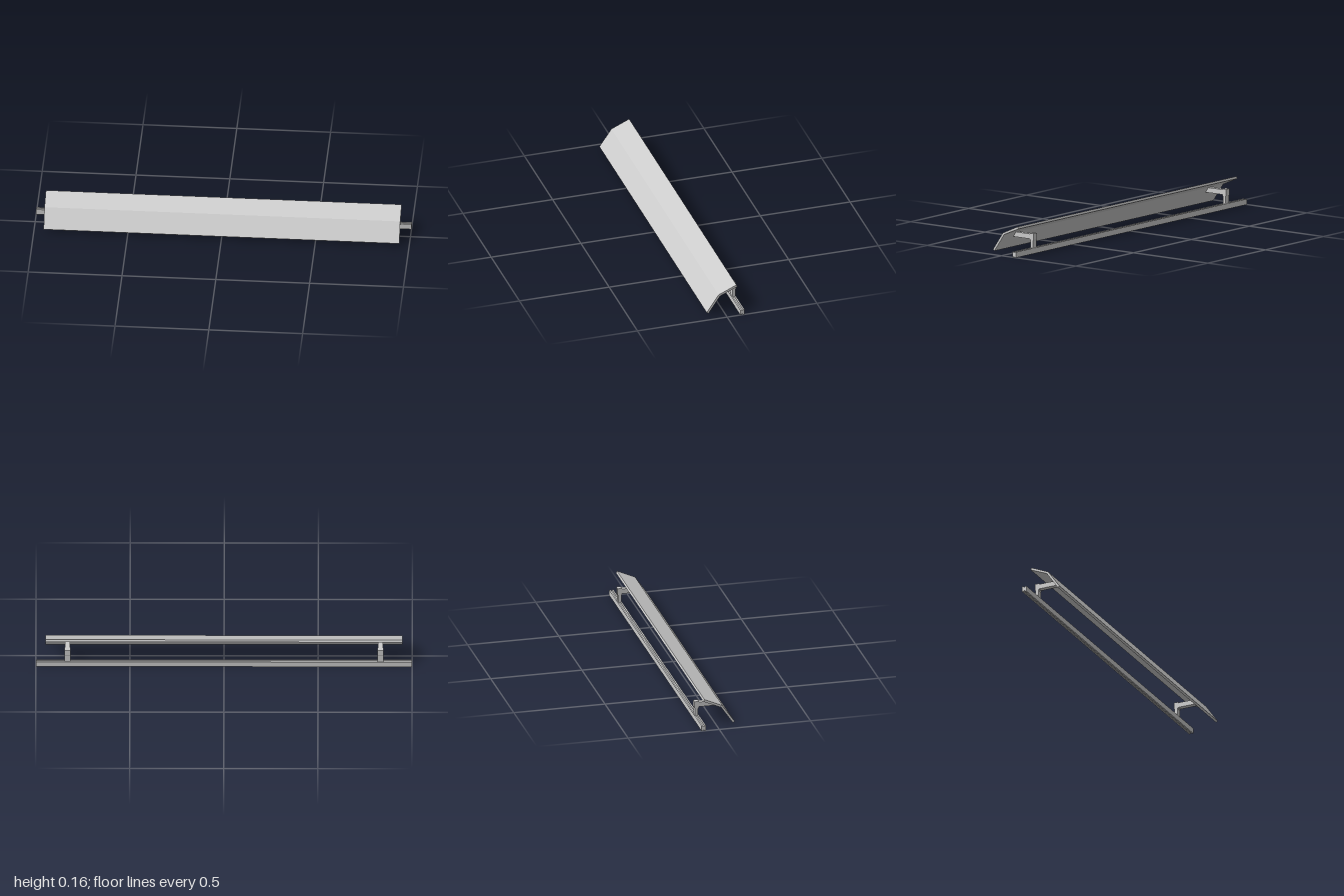
import * as THREE from 'three';

const metal = new THREE.MeshStandardMaterial({ color: 0xcccccc });
metal.name = 'light grey metal';

// Extrudes a (z, y) outline along x, centred on the given x
function extrudeAlongX(name, outline, length, x = 0) {
  const shape = new THREE.Shape(outline.map(([z, y]) => new THREE.Vector2(-z, y)));
  const geometry = new THREE.ExtrudeGeometry(shape, { depth: length, bevelEnabled: false });
  geometry.translate(0, 0, -length / 2);
  geometry.rotateY(Math.PI / 2); // shape x becomes -z, depth becomes x
  const mesh = new THREE.Mesh(geometry, metal);
  mesh.name = name;
  mesh.position.x = x;
  return mesh;
}

export function createModel() {
  const model = new THREE.Group();
  model.name = 'railWithShield';

  // Bent sheet: steep front panel and shallow upper panel
  model.add(extrudeAlongX('shield', [
    [0.098, 0.016], [0.031, 0.113], [-0.068, 0.157],
    [-0.073, 0.145], [0.023, 0.104], [0.088, 0.009],
  ], 1.896));

  // Long rail with a shallow slot above and below
  model.add(extrudeAlongX('rail', [
    [-0.073, 0], [-0.073, 0.03], [-0.081, 0.03], [-0.081, 0.026],
    [-0.089, 0.026], [-0.089, 0.03], [-0.097, 0.03], [-0.097, 0],
    [-0.089, 0], [-0.089, 0.004], [-0.081, 0.004], [-0.081, 0],
  ], 2));

  // Two brackets carry the shield
  for (const side of [-1, 1]) {
    const bracket = new THREE.Group();
    bracket.name = side > 0 ? 'leftBracket' : 'rightBracket';
    const x = side * 0.832;
    bracket.add(
      // Post with a wider head
      extrudeAlongX('post', [
        [-0.077, 0.026], [-0.077, 0.069], [-0.073, 0.074], [-0.073, 0.108],
        [-0.097, 0.108], [-0.097, 0.074], [-0.094, 0.069], [-0.094, 0.026],
      ], 0.03, x),
      // Arm cut to meet the front panel
      extrudeAlongX('arm', [
        [-0.073, 0.077], [0.042, 0.077], [0.023, 0.104], [-0.073, 0.104],
      ], 0.027, x),
    );
    model.add(bracket);
  }
  return model;
}
